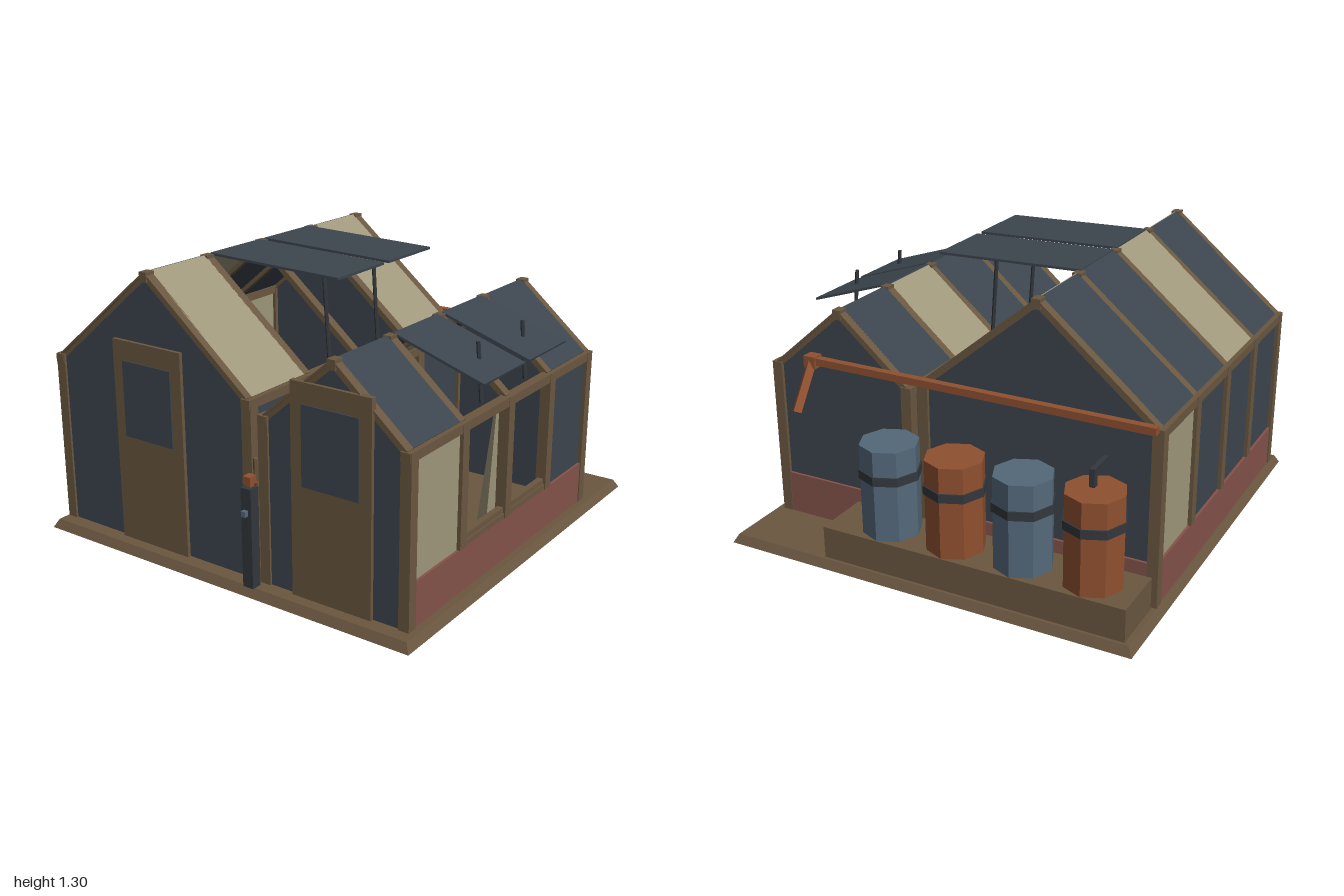
import * as THREE from 'three';

const mat = (name, color) => {
  const m = new THREE.MeshStandardMaterial({ color });
  m.name = name;
  m.flatShading = true;
  return m;
};

export function createModel() {
  const root = new THREE.Group();
  root.name = 'twinGreenhouse';
  const wood = mat('brown wood', 0x6a5740);
  const slate = mat('dark glass', 0x3c454e);
  const cream = mat('pale glass', 0xa0987b);
  const brick = mat('red brick', 0x85534a);
  const copper = mat('copper', 0x8f5030);
  const blue = mat('barrel blue', 0x54687a);
  const iron = mat('dark iron', 0x33383d);

  const add = (parent, name, geo, m) => {
    const mesh = new THREE.Mesh(geo, m);
    mesh.name = name;
    parent.add(mesh);
    return mesh;
  };
  // Box given by its limits
  const box = (parent, name, m, x0, x1, y0, y1, z0, z1) => {
    const b = add(parent, name, new THREE.BoxGeometry(x1 - x0, y1 - y0, z1 - z0), m);
    b.position.set((x0 + x1) / 2, (y0 + y1) / 2, (z0 + z1) / 2);
    return b;
  };
  // Sloping slab in the xy plane from a to b, spanning z0..z1, centred 'drop' below the line
  const slope = (parent, name, m, a, b, thick, z0, z1, drop = 0) => {
    const dx = b[0] - a[0], dy = b[1] - a[1], len = Math.hypot(dx, dy);
    const s = add(parent, name, new THREE.BoxGeometry(len, thick, z1 - z0), m);
    s.rotation.z = Math.atan2(dy, dx);
    const sign = dx > 0 ? -1 : 1;
    s.position.set((a[0] + b[0]) / 2 - sign * dy / len * drop, (a[1] + b[1]) / 2 + sign * dx / len * drop, (z0 + z1) / 2);
    return s;
  };
  // Round rod between two points
  const rod = (parent, name, m, a, b, r, sides = 6) => {
    const p = new THREE.Vector3(...a), q = new THREE.Vector3(...b), d = q.clone().sub(p);
    const c = add(parent, name, new THREE.CylinderGeometry(r, r, d.length(), sides), m);
    c.position.copy(p).add(q).multiplyScalar(0.5);
    c.quaternion.setFromUnitVectors(new THREE.Vector3(0, 1, 0), d.normalize());
    return c;
  };

  // Base with bevelled edge
  const slab = add(root, 'base', new THREE.CylinderGeometry(0.968 * Math.SQRT2, 0.99 * Math.SQRT2, 0.04, 4, 1, false, Math.PI / 4), wood);
  slab.position.set(-0.005, 0.02, -0.005);

  const lines = [0.88, 0.495, 0.112, -0.27, -0.65];
  const bays = [[0.515, 0.865], [0.13, 0.475], [-0.25, 0.092], [-0.632, -0.29]];
  const S = slate, C = cream;

  function house(name, o) {
    const g = new THREE.Group();
    g.name = name;
    root.add(g);
    const { xl, xr, xm, eave, ridge } = o;
    // Gable ends
    const shape = new THREE.Shape([[xl, 0.04], [xr, 0.04], [xr, eave - 0.02], [xm, ridge - 0.025], [xl, eave - 0.02]]
      .map(p => new THREE.Vector2(...p)));
    for (const [n, z] of [['frontGable', 0.88], ['backGable', -0.66]]) {
      add(g, n, new THREE.ExtrudeGeometry(shape, { depth: 0.015, bevelEnabled: false }), slate).position.z = z;
    }
    box(g, 'backBrick', brick, xl, xr, 0.04, 0.24, -0.672, -0.65);
    // Side walls
    for (const [x, panels] of [[xl, o.leftWall], [xr, o.rightWall]]) {
      box(g, 'brickWall', brick, x - 0.02, x + 0.02, 0.04, 0.24, -0.67, 0.9);
      box(g, 'eaveRail', wood, x - 0.023, x + 0.023, eave - 0.04, eave, -0.67, 0.91);
      lines.forEach((z, i) => {
        const end = i === 0 || i === 4;
        box(g, 'post', wood, x - 0.025, x + 0.025, end ? 0.04 : 0.24, eave, z - 0.025, z + 0.025);
      });
      bays.forEach(([z0, z1], i) => {
        if (panels[i]) box(g, 'wallPane', panels[i], x - 0.008, x + 0.008, 0.24, eave - 0.035, z0, z1);
        else {
          box(g, 'windowSill', wood, x - 0.02, x + 0.02, 0.24, 0.265, z0 - 0.01, z1 + 0.01);
          box(g, 'windowSill', wood, x - 0.014, x + 0.014, 0.265, 0.29, z0 - 0.01, z1 + 0.01);
        }
      });
    }
    // Roof: rafters, ridge blocks and panes
    const top = [xm, ridge];
    for (const [x, panes] of [[xl, o.leftRoof], [xr, o.rightRoof]]) {
      for (const z of lines) {
        slope(g, 'rafter', wood, [x, eave], top, 0.03, z - 0.016, z + 0.016, 0.012);
        slope(g, 'rafterCap', wood, [x, eave], top, 0.01, z - 0.022, z + 0.022, 0.001);
      }
      bays.forEach(([z0, z1], i) => {
        if (panes[i]) slope(g, 'roofPane', panes[i], [x, eave], top, 0.012, z0 - 0.002, z1 + 0.002, 0.002);
      });
    }
    for (const z of lines) box(g, 'ridgeBlock', wood, xm - 0.02, xm + 0.02, ridge - 0.04, ridge + 0.003, z - 0.025, z + 0.025);
    // Open roof vents with stays
    for (const i of [1, 2]) {
      const [z0, z1] = bays[i], zc = (z0 + z1) / 2;
      slope(g, 'roofVent', slate, [xm, ridge + 0.002], o.ventEnd, 0.011, z0, z1);
      rod(g, 'ventStay', iron, [...o.stay[0], zc], [...o.stay[1], zc], 0.009);
    }
    // Door with window
    const d = o.door;
    box(g, 'door', wood, d - 0.195, d + 0.195, 0.04, 0.98, 0.885, 0.912);
    box(g, 'doorWindow', slate, d - 0.138, d + 0.138, 0.54, 0.89, 0.91, 0.918);
    // Tapered plant supports
    for (const [x, z] of o.cones) {
      const c = add(g, 'plantCone', new THREE.CylinderGeometry(0.018, 0.08, 0.57, 6), cream);
      c.position.set(x, 0.325, z);
      rod(g, 'coneTip', wood, [x, 0.6, z], [x, 0.66, z], 0.007);
      box(g, 'coneTag', copper, x + 0.02, x + 0.045, 0.515, 0.545, z - 0.03, z - 0.005);
    }
  }

  house('largeHouse', {
    xl: -0.945, xr: 0.137, xm: -0.405, eave: 0.845, ridge: 1.295, door: -0.405,
    leftWall: [S, S, S, C], rightWall: [S, C, S, S],
    leftRoof: [S, C, S, S], rightRoof: [C, null, null, C],
    ventEnd: [0.29, 1.28], stay: [[0.12, 0.85], [0.092, 1.255]],
    cones: [[-0.5, -0.2], [-0.5, 0.4]],
  });
  house('smallHouse', {
    xl: 0.222, xr: 0.91, xm: 0.565, eave: 0.795, ridge: 1.092, door: 0.565,
    leftWall: [S, C, S, S], rightWall: [C, null, null, S],
    leftRoof: [S, S, C, S], rightRoof: [S, null, null, S],
    ventEnd: [0.992, 0.955], stay: [[0.89, 0.81], [0.865, 1.07]],
    cones: [[0.72, 0.41], [0.72, -0.17]],
  });

  // Barrel row on a plinth
  box(root, 'barrelPlinth', wood, -0.95, 0.49, 0.04, 0.19, -0.96, -0.69);
  [-0.75, -0.43, -0.107, 0.215].forEach((x, i) => {
    const g = new THREE.Group();
    g.name = 'barrel';
    g.position.set(x, 0, -0.825);
    root.add(g);
    add(g, 'barrelBody', new THREE.CylinderGeometry(0.132, 0.132, 0.42, 8), i % 2 ? blue : copper).position.y = 0.4;
    add(g, 'barrelHoop', new THREE.CylinderGeometry(0.139, 0.139, 0.04, 8), iron).position.y = 0.475;
  });
  // Tap on the end barrel
  box(root, 'tapPost', iron, -0.742, -0.718, 0.6, 0.69, -0.82, -0.79);
  box(root, 'tapArm', iron, -0.74, -0.72, 0.67, 0.69, -0.82, -0.68);

  // Rain pipe along the back with a downspout
  box(root, 'rainPipe', copper, -0.95, 0.72, 0.835, 0.868, -0.715, -0.68);
  box(root, 'pipeElbow', copper, 0.66, 0.72, 0.82, 0.875, -0.725, -0.67);
  rod(root, 'downspout', copper, [0.69, 0.85, -0.7], [0.69, 0.65, -0.835], 0.025, 4);

  // Standpipe between the doors
  box(root, 'standpipe', iron, 0.157, 0.21, 0.04, 0.49, 0.925, 0.975);
  box(root, 'standpipeTap', copper, 0.164, 0.203, 0.505, 0.54, 0.928, 0.968);
  box(root, 'standpipeNeck', copper, 0.172, 0.194, 0.485, 0.51, 0.93, 0.955);
  rod(root, 'standpipeFeed', copper, [0.183, 0.525, 0.95], [0.183, 0.49, 0.9], 0.012);
  rod(root, 'standpipeRod', wood, [0.183, 0.04, 0.9], [0.183, 0.6, 0.9], 0.014);
  box(root, 'standpipeValve', blue, 0.172, 0.194, 0.37, 0.395, 0.97, 0.995);

  return root;
}
